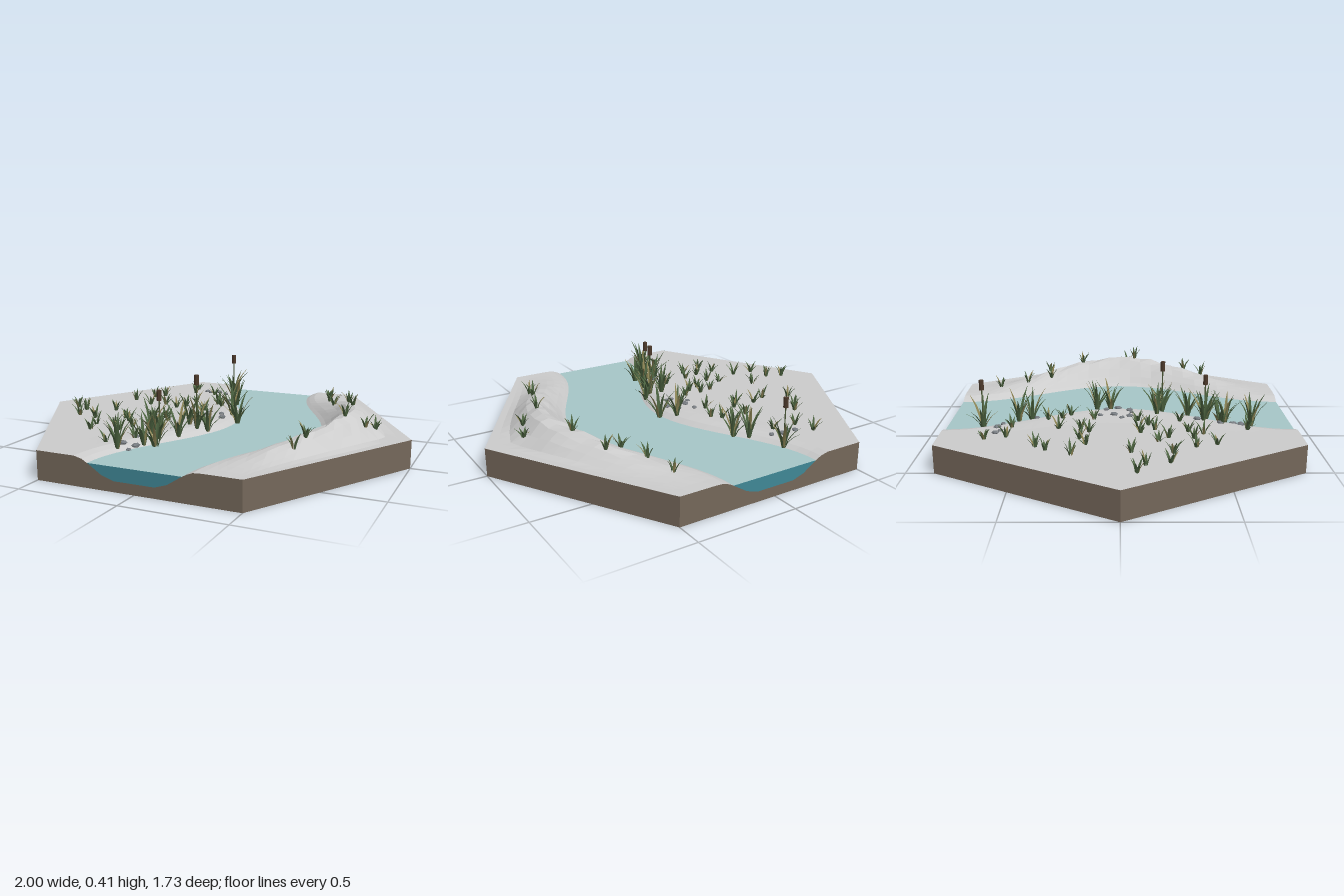
import * as THREE from 'three';
import { mergeGeometries } from 'three/addons/utils/BufferGeometryUtils.js';

const HALF = 0.866, GROUND = 0.14, WATER = 0.115;
const smooth = THREE.MathUtils.smoothstep;
const lerp = THREE.MathUtils.lerp;
const material = (color, extra = {}) => new THREE.MeshStandardMaterial({ color, ...extra });

// Small seeded random generator
let seed = 7;
const rnd = () => {
  seed = (seed * 16807) % 2147483647;
  return seed / 2147483647;
};
const range = (a, b) => a + (b - a) * rnd();

// Land rules: hexagon edge, river centre line and ground height
const edgeX = z => 1 - Math.abs(z) / Math.sqrt(3);
const bend = z => Math.cos(Math.PI / 2 * z / HALF) ** 2;
const river = z => 0.31 * bend(z);
function height(x, z) {
  const d = x - river(z);
  const bank = 0.05 + (GROUND - 0.05) * smooth(Math.abs(d), 0.1, 0.3);
  const ridge = smooth(d, 0.23, 0.4) * (1 - smooth(d, 0.4, 0.56));
  const rough = 1 + 0.12 * Math.sin(x * 37 + z * 23) * Math.sin(z * 31 - x * 11);
  const fade = smooth(edgeX(z) - x, 0, 0.12);
  const levee = 0.01 * Math.exp(-(((d + 0.33) / 0.08) ** 2));
  return bank + bend(z) * (0.11 * ridge * (z === 0 ? 1 : rough) * fade + levee);
}

// Surface through a grid of points
function grid(rows) {
  const n = rows[0].length, index = [];
  for (let i = 0; i < rows.length - 1; i++)
    for (let j = 0; j < n - 1; j++) {
      const a = i * n + j, b = a + n;
      index.push(a, b, b + 1, a, b + 1, a + 1);
    }
  const geo = new THREE.BufferGeometry().setFromPoints(rows.flat());
  geo.setIndex(index);
  geo.computeVertexNormals();
  return geo;
}

// Tapered blade, arching outward in direction "angle"
function blade(x, y, z, angle, len, reach, width) {
  const out = new THREE.Vector3(Math.cos(angle), 0, Math.sin(angle));
  const side = new THREE.Vector3(-out.z, 0, out.x);
  const rows = [];
  for (let i = 0; i <= 3; i++) {
    const t = i / 3;
    const mid = new THREE.Vector3(x, y + len * (t * 1.25 - 0.25 * t * t), z)
      .addScaledVector(out, 0.006 + reach * t ** 1.6);
    const w = width * [0.35, 0.5, 0.36, 0.02][i];
    rows.push([-1, 0, 1].map(s => mid.clone().addScaledVector(side, s * w).addScaledVector(out, s ? 0 : w * 0.4)));
  }
  return grid(rows);
}

const pairs = list => list.reduce((r, v, i) => (i % 2 ? r[r.length - 1].push(v) : r.push([v]), r), []);

const TUFTS = pairs([
  -0.42, -0.64, -0.39, -0.54, -0.26, -0.53, -0.52, -0.39, -0.56, -0.34, -0.62, -0.22, -0.49, -0.16,
  -0.41, -0.19, -0.28, -0.19, -0.32, -0.15, -0.27, -0.3, -0.13, -0.29, -0.09, -0.25, -0.14, -0.13,
  -0.15, -0.36, -0.82, 0.07, -0.74, 0.11, -0.59, 0.05, -0.71, 0.22, -0.6, 0.24, -0.52, 0.35,
  -0.49, 0.45, -0.45, 0.18, -0.4, 0.23, -0.41, 0.35, -0.35, 0.4, -0.32, 0.33, -0.33, 0.1,
  -0.26, 0.09, -0.29, 0.17, -0.22, 0.14, -0.16, 0.09, -0.17, 0.3, -0.29, 0.62, -0.2, 0.51,
  0.41, -0.68, 0.45, -0.53, 0.59, -0.41, 0.51, -0.4, 0.66, -0.22, 0.82, -0.03, 0.79, 0.05,
  0.7, 0.09, 0.6, 0.38, 0.58, 0.48]);
const REEDS = pairs([
  -0.2, -0.68, -0.13, -0.51, -0.08, -0.45, 0.03, -0.12, 0.09, -0.05, -0.07, 0.19, -0.015, 0.22,
  0.03, 0.19, -0.05, 0.35, -0.16, 0.42, -0.11, 0.44, -0.14, 0.53, -0.09, 0.51, -0.21, 0.65]);
const STONES = pairs([
  -0.26, -0.6, -0.21, -0.58, -0.34, -0.6, -0.31, -0.58, -0.01, -0.07, 0.02, -0.01, -0.02, 0.05,
  -0.05, 0.06, -0.08, -0.03, -0.12, 0.01, -0.1, 0.05, -0.09, -0.1, -0.2, 0.5, -0.17, 0.62,
  -0.16, 0.57, -0.21, 0.6, -0.15, 0.39, -0.12, -0.42]);
const CATTAILS = [[-0.2, -0.68, 0.365], [-0.11, 0.43, 0.365], [-0.015, 0.22, 0.41]];

export function createModel() {
  seed = 7;
  const model = new THREE.Group();
  const add = (name, geo, mat) => {
    const mesh = new THREE.Mesh(geo, mat);
    mesh.name = name;
    model.add(mesh);
    return mesh;
  };

  // Terrain: columns follow the river bend and meet the hexagon edge
  const offsets = [-0.34, -0.3, -0.26, -0.22, -0.16, -0.1, 0, 0.1, 0.16, 0.22, 0.25, 0.28, 0.32, 0.36, 0.4, 0.44];
  const rows = [];
  for (let i = 0; i <= 28; i++) {
    const z = lerp(-HALF, HALF, i / 28), e = edgeX(z), c = river(z);
    const xs = [];
    for (let k = 0; k < 6; k++) xs.push(lerp(-e, c - 0.34, k / 6));
    offsets.forEach(d => xs.push(c + d));
    for (let k = 1; k <= 4; k++) xs.push(lerp(c + 0.44, e, k / 4));
    rows.push(xs.map(x => new THREE.Vector3(x, height(x, z), z)));
  }
  add('terrain', grid(rows), material(0xcccccc, { flatShading: true }));

  // Earth sides under the terrain edge, and the underside
  const first = rows[0], last = rows[rows.length - 1];
  const rim = [...last, ...rows.map(r => r[r.length - 1]).reverse(), ...[...first].reverse(), ...rows.map(r => r[0])];
  const foot = rim.map(p => new THREE.Vector3(p.x, 0, p.z));
  add('earthSides', grid([rim, foot]), material(0x74675a, { flatShading: true }));
  const bottom = add('underside', new THREE.CircleGeometry(1, 6), material(0x343d3a));
  bottom.rotation.x = Math.PI / 2;

  // Water surface and its two cut ends
  const surface = rows.map(r => [-0.25, 0, 0.25].map(d =>
    new THREE.Vector3(river(r[0].z) + d, WATER, r[0].z)));
  add('waterSurface', grid(surface), material(0xa6c6c7));
  const cut = [-0.232, -0.22, -0.16, -0.1, 0, 0.1, 0.16, 0.22, 0.232];
  for (const s of [1, -1]) {
    const bed = cut.map(x => new THREE.Vector3(s * x, Math.min(WATER, height(s * x, HALF)), s * HALF));
    const top = bed.map(p => new THREE.Vector3(p.x, WATER, p.z));
    add(s > 0 ? 'waterFrontEnd' : 'waterBackEnd', grid([top, bed]), material(0x3f8796));
  }

  // Grass tufts and taller bank reeds, sorted into two tones
  const green = [], dry = [];
  const plant = ([x, z], count, tall, spread, width) => {
    const y = height(x, z) - 0.005, turn = range(0, 6.28);
    for (let i = 0; i < count; i++) {
      const geo = blade(x, y, z, turn + i / count * 6.28 + range(-0.4, 0.4),
        tall * range(0.5, 1), spread * range(0.4, 1), width);
      (i % 4 === 3 ? dry : green).push(geo);
    }
  };
  TUFTS.forEach(p => plant(p, 6, 0.075, 0.045, 0.013));
  REEDS.forEach(p => plant(p, 9, 0.18, 0.095, 0.016));
  const leaf = { side: THREE.DoubleSide };
  add('greenBlades', mergeGeometries(green), material(0x4c6340, leaf));
  add('dryBlades', mergeGeometries(dry), material(0x8c8455, leaf));

  // Cattails: stem, brown head and short spike
  for (const [x, z, top] of CATTAILS) {
    const cattail = new THREE.Group();
    cattail.name = 'cattail';
    const base = height(x, z) - 0.01;
    const part = (name, r, from, to, color) => {
      const mesh = new THREE.Mesh(new THREE.CylinderGeometry(r, r, to - from, 7), material(color, { flatShading: true }));
      mesh.position.set(x, (from + to) / 2, z);
      mesh.name = name;
      cattail.add(mesh);
    };
    part('stem', 0.003, base, top - 0.04, 0x4c5a38);
    part('head', 0.012, top - 0.05, top, 0x4d3a2c);
    model.add(cattail);
  }

  // Pebbles along the bank
  const pebbles = new THREE.Group();
  pebbles.name = 'pebbles';
  const pebbleGeo = new THREE.IcosahedronGeometry(1, 0);
  const pebbleMat = material(0x767b80, { flatShading: true });
  for (const [x, z] of STONES) {
    const pebble = new THREE.Mesh(pebbleGeo, pebbleMat);
    const r = range(0.012, 0.02);
    pebble.scale.set(r * 1.2, r * 0.6, r);
    pebble.position.set(x, height(x, z) + r * 0.2, z);
    pebble.rotation.y = range(0, 6.28);
    pebble.name = 'pebble';
    pebbles.add(pebble);
  }
  model.add(pebbles);
  return model;
}
